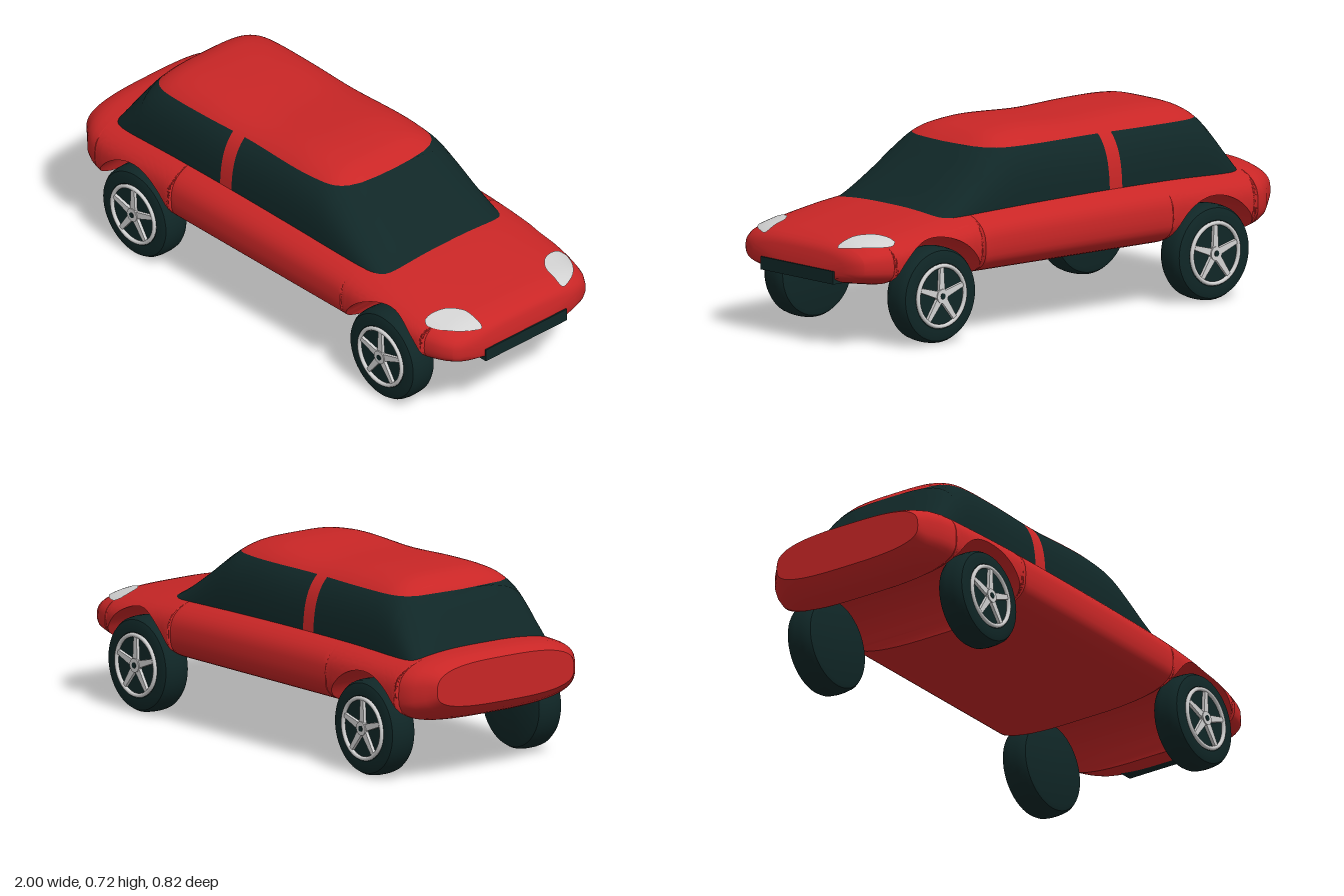
import * as THREE from 'three';
import { toCreasedNormals } from 'three/addons/utils/BufferGeometryUtils.js';

const material = (name, color, side = THREE.FrontSide) => {
  const m = new THREE.MeshStandardMaterial({ color, side });
  m.name = name;
  return m;
};

// Smooth y(x) through a few points
function profile(pts) {
  const slope = (i) => {
    const a = pts[Math.max(0, i - 1)], b = pts[Math.min(pts.length - 1, i + 1)];
    return (b[1] - a[1]) / (b[0] - a[0]);
  };
  return (x) => {
    let i = 0;
    while (i < pts.length - 2 && x > pts[i + 1][0]) i++;
    const [x0, y0] = pts[i], [x1, y1] = pts[i + 1], h = x1 - x0;
    const t = Math.min(1, Math.max(0, (x - x0) / h)), t2 = t * t, t3 = t2 * t;
    return y0 * (2 * t3 - 3 * t2 + 1) + y1 * (3 * t2 - 2 * t3)
      + h * (slope(i) * (t3 - 2 * t2 + t) + slope(i + 1) * (t3 - t2));
  };
}

// Joins rings of [y, z] points along x; paint(i, j) picks the material of a cell
function loft(xs, ring, { closed = false, paint = () => 0, crease = 0.7 } = {}) {
  const pos = [], faces = [[], []];
  const rings = xs.map((x) => ring(x).map(([y, z]) => pos.push(x, y, z) / 3 - 1));
  const n = rings[0].length;
  for (let i = 0; i < xs.length - 1; i++) {
    for (let j = 0; j < (closed ? n : n - 1); j++) {
      const k = (j + 1) % n;
      const a = rings[i][j], b = rings[i + 1][j], c = rings[i + 1][k], d = rings[i][k];
      faces[paint(i, j)].push(a, b, d, b, c, d);
    }
  }
  if (closed) {
    for (const [r, front] of [[rings[0], false], [rings[rings.length - 1], true]]) {
      for (let j = 1; j < n - 1; j++) faces[0].push(r[0], front ? r[j + 1] : r[j], front ? r[j] : r[j + 1]);
    }
  }
  const g = new THREE.BufferGeometry();
  g.setAttribute('position', new THREE.Float32BufferAttribute(pos, 3));
  g.setIndex([...faces[0], ...faces[1]]);
  g.addGroup(0, faces[0].length, 0);
  if (faces[1].length) g.addGroup(faces[0].length, faces[1].length, 1);
  return toCreasedNormals(g, crease);
}

const stations = (from, to, count, extra) => {
  const xs = [...extra, from, to];
  for (let i = 1; i < count; i++) xs.push(from + (to - from) * i / count);
  return xs.filter((x) => x >= from && x <= to).sort((a, b) => a - b)
    .filter((x, i, all) => i === 0 || x - all[i - 1] > 1e-5);
};
const power = (v, p) => Math.sign(v) * Math.abs(v) ** p;

const AXLES = [-0.665, 0.65], AXLE_Y = 0.178, ARCH = 0.21;
const REAR = -1, NOSE = 0.994;

// Body outlines: top line, bottom line and half width
const bodyTop = profile([[-1, 0.452], [-0.97, 0.469], [-0.93, 0.476], [-0.85, 0.478], [-0.5, 0.488], [0, 0.485],
  [0.4, 0.473], [0.58, 0.455], [0.7, 0.437], [0.85, 0.411], [0.93, 0.394], [0.98, 0.368], [0.994, 0.345]]);
const bodyBottom = profile([[-1, 0.285], [-0.97, 0.255], [-0.93, 0.233], [-0.87, 0.214], [-0.8, 0.21],
  [0.8, 0.21], [0.88, 0.219], [0.95, 0.231], [0.994, 0.245]]);
const bodyWidth = profile([[-1, 0.32], [-0.97, 0.345], [-0.93, 0.38], [-0.88, 0.398], [-0.8, 0.404], [-0.4, 0.407],
  [0.5, 0.407], [0.7, 0.4], [0.8, 0.39], [0.88, 0.372], [0.94, 0.348], [0.975, 0.312], [0.994, 0.25]]);
const bodyMiddle = (x) => bodyBottom(x) + 0.45 * (bodyTop(x) - bodyBottom(x));
const hoodHeight = (x, z) => bodyMiddle(x) + (bodyTop(x) - bodyMiddle(x))
  * Math.max(0, 1 - (Math.abs(z) / bodyWidth(x)) ** 3) ** (1 / 3);

function bodyRing(x) {
  const top = bodyTop(x), bottom = bodyBottom(x), mid = bodyMiddle(x), w = bodyWidth(x);
  // The wheel arches cut the section off from below
  let cut = bottom;
  for (const ax of AXLES) {
    const d = ARCH ** 2 - (x - ax) ** 2;
    if (d > 0) cut = Math.max(cut, 0.182 + Math.sqrt(d));
  }
  const t = cut > mid ? (cut - mid) / (top - mid) : (cut - mid) / (mid - bottom);
  const start = Math.asin(Math.max(-1, power(t, 1.5)));
  const pts = [];
  for (let j = 0; j <= 56; j++) {
    const a = start + (Math.PI - 2 * start) * j / 56, s = power(Math.sin(a), 2 / 3);
    pts.push([mid + s * (s > 0 ? top - mid : mid - bottom), w * power(Math.cos(a), 2 / 3)]);
  }
  return pts;
}

// Cabin: glass below GLASS_TOP, painted roof above it
const GLASS_TOP = 0.655, BASE = 0.36, N = 3.55, SIDE = 14, ROOF = 24;
const cabinTop = profile([[-0.92, 0.405], [-0.89, 0.442], [-0.83, 0.535], [-0.745, 0.655], [-0.7, 0.692], [-0.63, 0.712],
  [-0.45, 0.715], [-0.2, 0.706], [0.05, 0.715], [0.16, 0.708], [0.235, 0.692], [0.305, 0.65],
  [0.4, 0.575], [0.5, 0.5], [0.58, 0.449], [0.65, 0.405]]);

function cabinRing(x) {
  const h = cabinTop(x) - BASE;
  const edge = Math.asin(Math.min(1, (GLASS_TOP - BASE) / h) ** (N / 2));
  const angles = [];
  for (let j = 0; j <= SIDE; j++) angles.push(edge * j / SIDE);
  for (let j = 1; j < ROOF; j++) angles.push(edge + (Math.PI - 2 * edge) * j / ROOF);
  for (let j = SIDE; j >= 0; j--) angles.push(Math.PI - edge * j / SIDE);
  return angles.map((a) => [
    Math.max(0.405, BASE + h * Math.max(0, Math.sin(a)) ** (2 / N)),
    0.325 * power(Math.cos(a), 2 / N),
  ]);
}

// Headlight patch that follows the nose surface
function headlightGeometry(side) {
  const outline = new THREE.SplineCurve([[0.815, 0.335], [0.84, 0.347], [0.89, 0.328], [0.935, 0.292], [0.962, 0.25], [0.975, 0.2],
    [0.93, 0.197], [0.88, 0.205], [0.835, 0.245], [0.815, 0.3]].map((p) => new THREE.Vector2(...p)));
  outline.points.push(outline.points[0].clone());
  const edge = outline.getPoints(48), rings = 8, pos = [], index = [];
  for (let r = 0; r <= rings; r++) {
    for (const p of edge) {
      const x = 0.893 + (p.x - 0.893) * r / rings, z = 0.265 + (p.y - 0.265) * r / rings;
      pos.push(x + 0.002, hoodHeight(x, z) + 0.005, side * (z + 0.001));
    }
  }
  const n = edge.length;
  for (let r = 0; r < rings; r++) {
    for (let j = 0; j < n - 1; j++) {
      const a = r * n + j, b = a + n;
      if (side > 0) index.push(a, a + 1, b, a + 1, b + 1, b);
      else index.push(a, b, a + 1, a + 1, b, b + 1);
    }
  }
  const g = new THREE.BufferGeometry();
  g.setAttribute('position', new THREE.Float32BufferAttribute(pos, 3));
  g.setIndex(index);
  g.computeVertexNormals();
  // Keep the patch facing up
  if (g.attributes.normal.getY(n * 2) < 0) { g.setIndex(index.reverse()); g.computeVertexNormals(); }
  return g;
}

export function createModel() {
  const red = material('red paint', 0xc92626);
  const dark = material('dark glass and rubber', 0x102727);
  const silver = material('silver', 0xd2d2d2);
  const car = new THREE.Group();
  car.name = 'car';
  const add = (parent, name, geometry, mat) => {
    const mesh = new THREE.Mesh(geometry, mat);
    mesh.name = name;
    parent.add(mesh);
    return mesh;
  };

  // Body with arches open from side to side
  const archStations = AXLES.flatMap((ax) =>
    Array.from({ length: 33 }, (_, k) => ax + 0.2082 * Math.cos(Math.PI * k / 32)));
  add(car, 'body', loft(stations(REAR, NOSE, 60, [...archStations, -0.985, 0.96, 0.975, 0.985]), bodyRing, { closed: true }), red);

  // Cabin: glass, roof and the pillar between the side windows
  const xs = stations(-0.92, 0.65, 100, [-0.285, -0.225, -0.745, 0.297, 0.299, 0.301]);
  const paint = (i, j) => {
    const mid = (xs[i] + xs[i + 1]) / 2;
    return (j >= SIDE && j < SIDE + ROOF) || (mid > -0.285 && mid < -0.225) ? 0 : 1;
  };
  add(car, 'cabin', loft(xs, cabinRing, { paint, crease: 1 }), [red, dark]);

  // Nose details
  add(car, 'grille', new THREE.BoxGeometry(0.06, 0.048, 0.405), dark).position.set(0.97, 0.259, 0);
  for (const s of [1, -1]) add(car, s > 0 ? 'leftHeadlight' : 'rightHeadlight', headlightGeometry(s), silver);

  // Wheels: axis along z, outer face at +z, turned round for the other side
  const tyreProfile = [[0, -0.057], [0.15, -0.057], [0.167, -0.051], [0.175, -0.038], [0.178, -0.015], [0.178, 0.015],
    [0.175, 0.038], [0.167, 0.051], [0.15, 0.057], [0.122, 0.057], [0.116, 0.05], [0, 0.05]];
  const tyre = toCreasedNormals(new THREE.LatheGeometry(tyreProfile.map((p) => new THREE.Vector2(...p)), 48)
    .rotateX(Math.PI / 2), 0.6);
  const rim = new THREE.TorusGeometry(0.112, 0.008, 8, 48);
  const spokeShape = new THREE.Shape([[-0.014, 0.012], [0.014, 0.012], [0.008, 0.112], [-0.008, 0.112]]
    .map((p) => new THREE.Vector2(...p)));
  const spoke = new THREE.ExtrudeGeometry(spokeShape, { depth: 0.013, bevelEnabled: false });
  const hub = new THREE.CylinderGeometry(0.026, 0.026, 0.02, 24).rotateX(Math.PI / 2);
  const cap = new THREE.CylinderGeometry(0.011, 0.011, 0.004, 16).rotateX(Math.PI / 2);
  for (const [i, x] of AXLES.entries()) {
    for (const s of [1, -1]) {
      const wheel = new THREE.Group();
      wheel.name = (i ? 'front' : 'rear') + (s > 0 ? 'Left' : 'Right') + 'Wheel';
      add(wheel, 'tyre', tyre, dark);
      add(wheel, 'rim', rim, silver).position.z = 0.058;
      for (let k = 0; k < 5; k++) {
        const m = add(wheel, 'spoke', spoke, silver);
        m.position.z = 0.049;
        m.rotation.z = k * Math.PI * 0.4;
      }
      add(wheel, 'hub', hub, silver).position.z = 0.056;
      add(wheel, 'hubCap', cap, dark).position.z = 0.066;
      wheel.position.set(x, AXLE_Y, s * 0.343);
      wheel.rotation.y = s > 0 ? 0 : Math.PI;
      car.add(wheel);
    }
  }
  return car;
}
